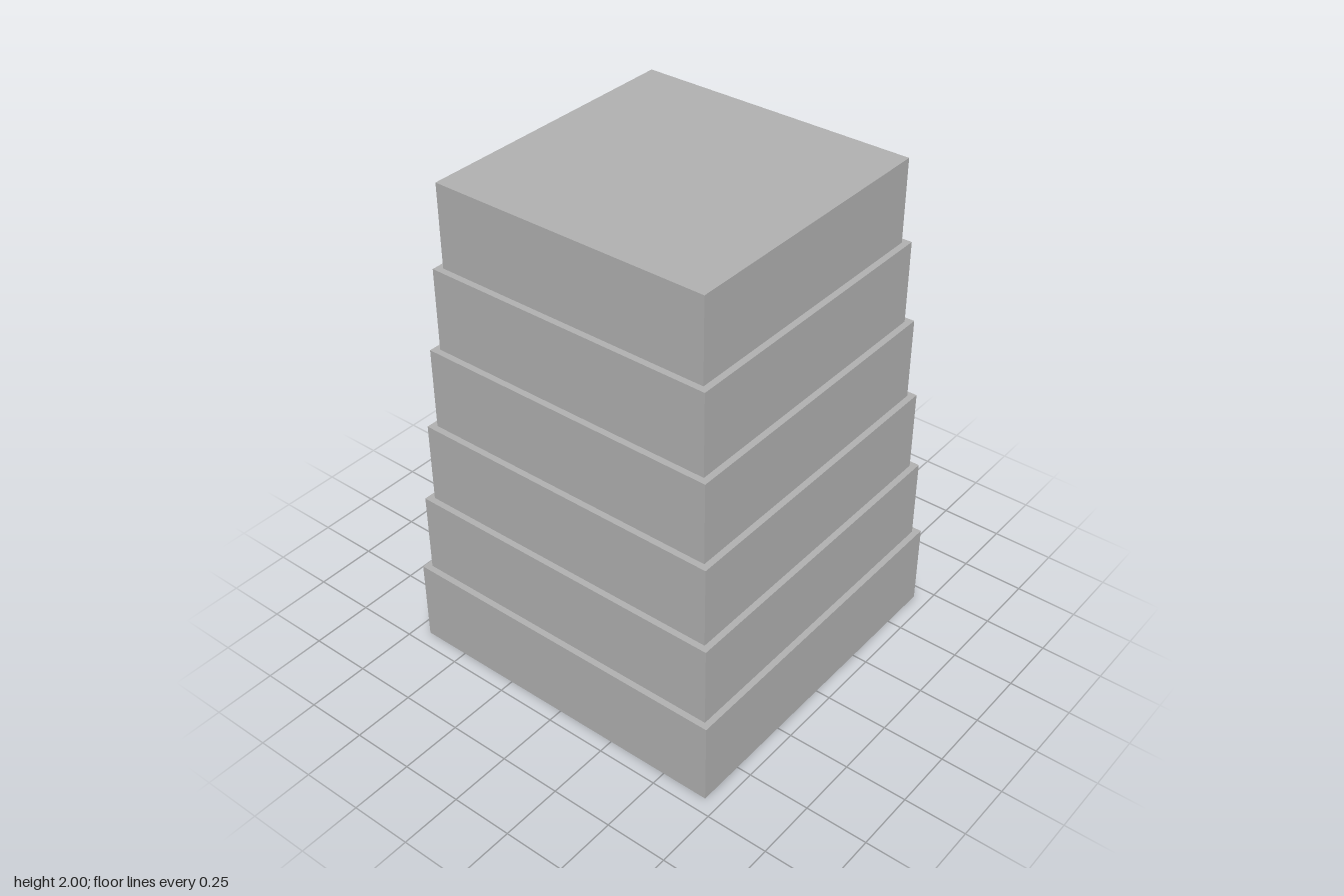
import * as THREE from 'three';

const TIERS = 6;
const TIER_HEIGHT = 0.345;
const RISE = (2 - TIER_HEIGHT) / (TIERS - 1); // each tier sinks slightly into the one below
const BASE_WIDTH = 1.382;
const TOP_WIDTH = 1.13;

export function createModel() {
  const group = new THREE.Group();
  group.name = 'steppedTower';
  const stone = new THREE.MeshStandardMaterial({ color: 0xb2b2b2 });
  stone.name = 'grey stone';

  // Square tiers, narrowing evenly towards the top
  for (let i = 0; i < TIERS; i++) {
    const width = THREE.MathUtils.lerp(BASE_WIDTH, TOP_WIDTH, i / (TIERS - 1));
    const tier = new THREE.Mesh(new THREE.BoxGeometry(width, TIER_HEIGHT, width), stone);
    tier.name = `tier${i + 1}`;
    tier.position.y = i * RISE + TIER_HEIGHT / 2;
    group.add(tier);
  }
  return group;
}
